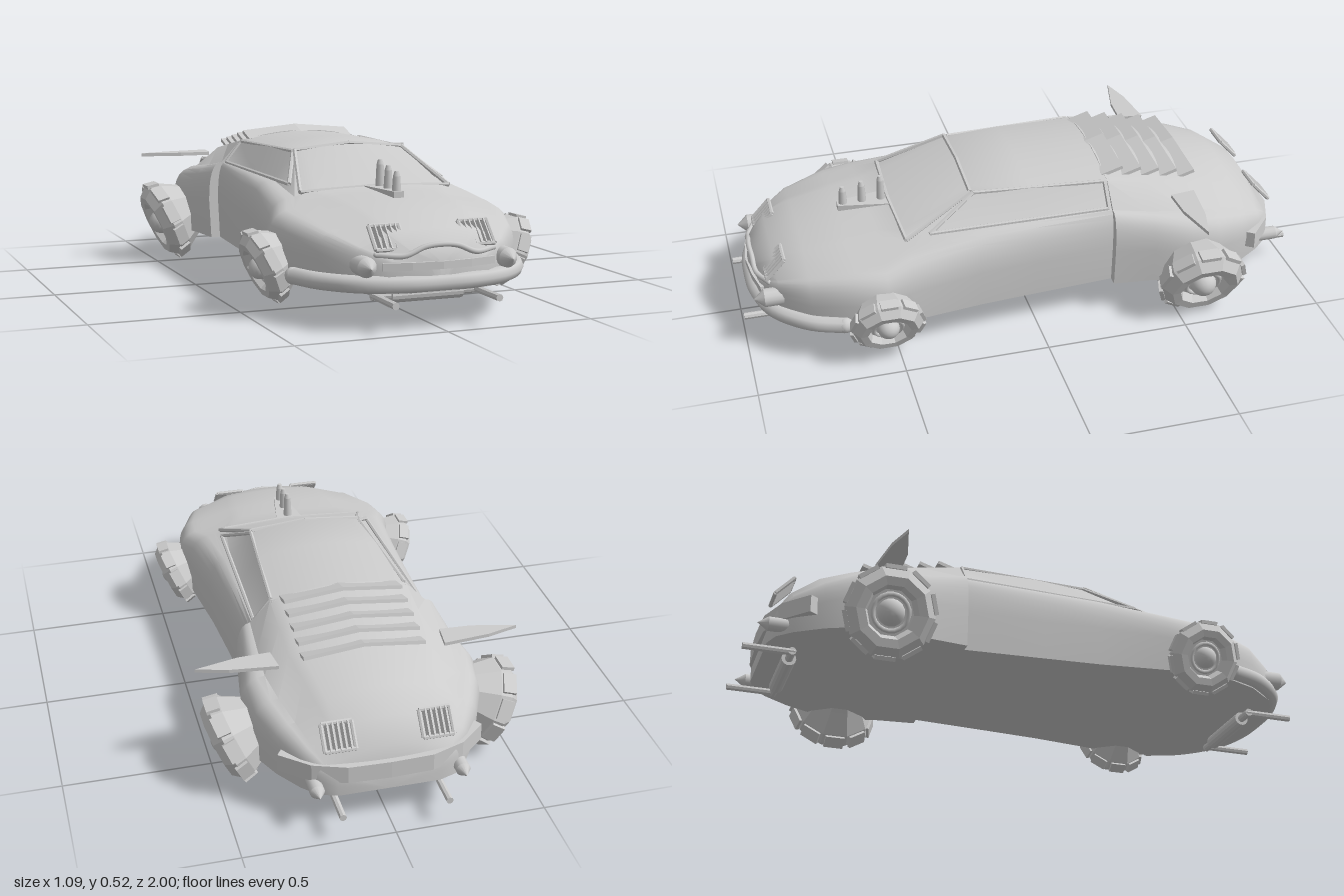
import * as THREE from 'three';
import { toCreasedNormals, mergeVertices } from 'three/addons/utils/BufferGeometryUtils.js';

const smooth = new THREE.MeshStandardMaterial({ color: 0xcccccc });
const faceted = new THREE.MeshStandardMaterial({ color: 0xcccccc, flatShading: true });
const V = (x, y, z) => new THREE.Vector3(x, y, z);
const FLOOR = 0.12;

// Stations: z, half width, belt x, belt y, roof edge x, roof edge y, top y
const FRONT_BODY = [
  [0.957, 0.04, 0.03, 0.2, 0.02, 0.215, 0.22],
  [0.935, 0.17, 0.15, 0.22, 0.1, 0.25, 0.26],
  [0.88, 0.26, 0.23, 0.26, 0.15, 0.295, 0.305],
  [0.78, 0.34, 0.29, 0.295, 0.18, 0.33, 0.345],
  [0.63, 0.4, 0.32, 0.325, 0.2, 0.355, 0.367],
  [0.53, 0.415, 0.325, 0.335, 0.21, 0.365, 0.378],
  [0.44, 0.39, 0.29, 0.36, 0.25, 0.375, 0.387],
  [0.2, 0.36, 0.28, 0.39, 0.2, 0.485, 0.505],
  [0, 0.345, 0.285, 0.395, 0.22, 0.485, 0.512],
  [-0.29, 0.325, 0.295, 0.4, 0.235, 0.475, 0.505],
];
const REAR_BODY = [
  [-0.28, 0.36, 0.31, 0.4, 0.24, 0.475, 0.508],
  [-0.42, 0.375, 0.315, 0.375, 0.24, 0.45, 0.485],
  [-0.55, 0.405, 0.32, 0.36, 0.24, 0.425, 0.46],
  [-0.66, 0.385, 0.3, 0.34, 0.22, 0.4, 0.435],
  [-0.76, 0.34, 0.27, 0.31, 0.2, 0.37, 0.405],
  [-0.85, 0.28, 0.235, 0.27, 0.17, 0.315, 0.35],
  [-0.9, 0.23, 0.2, 0.23, 0.14, 0.25, 0.275],
  [-0.92, 0.17, 0.15, 0.19, 0.1, 0.205, 0.215],
];

// Closed outline of one body station, anticlockwise from the keel
function section([z, w, xb, yb, xr, yr, top]) {
  const v2 = (x, y) => new THREE.Vector2(x, y);
  const side = new THREE.QuadraticBezierCurve(v2(w, FLOOR + (yb - FLOOR) * 0.5), v2(w, yb), v2(xb, yb));
  const roof = new THREE.QuadraticBezierCurve(v2(xr, yr), v2(xr * 0.5, top), v2(0, top));
  const half = [v2(0, FLOOR), v2(w * 0.98, FLOOR), ...side.getPoints(6), ...roof.getPoints(6)];
  const mirror = half.slice(1, -1).reverse().map(p => v2(-p.x, p.y));
  return [...half, ...mirror].map(p => V(p.x, p.y, z));
}

function loft(stations) {
  const rings = stations.map(section), n = rings[0].length, pos = [];
  const tri = (...pts) => pts.forEach(p => pos.push(p.x, p.y, p.z));
  for (let i = 0; i < rings.length - 1; i++) {
    for (let j = 0; j < n; j++) {
      const k = (j + 1) % n, a = rings[i], b = rings[i + 1];
      tri(a[j], b[j], a[k]);
      tri(b[j], b[k], a[k]);
    }
  }
  const first = rings[0], last = rings[rings.length - 1];
  for (let j = 1; j < n - 1; j++) {
    tri(first[0], first[j], first[j + 1]);
    tri(last[0], last[j + 1], last[j]);
  }
  const g = new THREE.BufferGeometry();
  g.setAttribute('position', new THREE.Float32BufferAttribute(pos, 3));
  return toCreasedNormals(mergeVertices(g), 0.55);
}

function add(parent, name, geometry, material = faceted, x = 0, y = 0, z = 0) {
  const m = new THREE.Mesh(geometry, material);
  m.name = name;
  m.position.set(x, y, z);
  parent.add(m);
  return m;
}

// Round bar between two points
function bar(parent, name, a, b, r, sides = 6) {
  const m = add(parent, name, new THREE.CylinderGeometry(r, r, a.distanceTo(b), sides));
  m.position.copy(a).lerp(b, 0.5);
  m.quaternion.setFromUnitVectors(V(0, 1, 0), b.clone().sub(a).normalize());
  return m;
}
const frame = (parent, name, pts, r) =>
  pts.forEach((p, i) => bar(parent, name, p, pts[(i + 1) % pts.length], r));

// Horizontal plate from an [x, z] outline, its top at height y
function plate(parent, name, outline, y, depth) {
  const shape = new THREE.Shape(outline.map(([x, z]) => new THREE.Vector2(x, z)));
  const g = new THREE.ExtrudeGeometry(shape, { depth, bevelEnabled: false });
  return add(parent, name, g.rotateX(Math.PI / 2), faceted, 0, y, 0);
}

// Band wrapped round an end of the car; half the path is given, from the side to the middle
function band(parent, name, half, y, depth) {
  const path = [...half, ...half.slice(0, -1).reverse().map(([x, z]) => [-x, z])];
  return plate(parent, name, [...path, ...path.slice().reverse().map(([x, z]) => [x * 0.92, z * 0.95])], y, depth);
}

function symmetricTube(parent, name, half, r) {
  const pts = [...half, ...half.slice(0, -1).reverse().map(p => V(-p.x, p.y, p.z))];
  add(parent, name, new THREE.TubeGeometry(new THREE.CatmullRomCurve3(pts), 36, r, 8), smooth);
  [pts[0], pts[pts.length - 1]].forEach(p => add(parent, name + 'End', new THREE.SphereGeometry(r, 10, 8), smooth, p.x, p.y, p.z));
}

// Faceted wheel pod, leaning so that the hub looks outwards and down
function wheel(parent, name, side, x, y, z, scale) {
  const g = new THREE.Group();
  g.name = name;
  const profile = [[0.05, -0.2], [0.1, -0.11], [0.143, -0.037], [0.152, 0], [0.12, 0.038], [0.09, 0.036], [0.078, 0.005], [0, 0.005]];
  add(g, 'wheelPod', new THREE.LatheGeometry(profile.map(p => new THREE.Vector2(...p)), 10));
  add(g, 'hub', new THREE.SphereGeometry(0.046, 16, 10), smooth, 0, 0.01, 0);
  const ring = add(g, 'hubRing', new THREE.TorusGeometry(0.06, 0.008, 6, 20), smooth, 0, 0.01, 0);
  ring.rotation.x = Math.PI / 2;
  for (let i = 0; i < 10; i++) {
    const a = (i + 0.5) * Math.PI / 5;
    const tread = add(g, 'tread', new THREE.BoxGeometry(0.07, 0.045, 0.014), faceted, Math.sin(a) * 0.145, -0.012, Math.cos(a) * 0.145);
    tread.rotation.set(0.2, a, 0, 'YXZ');
  }
  g.position.set(side * x, y, z);
  g.rotation.z = -side * (Math.PI / 2 + 0.42);
  g.scale.setScalar(scale);
  parent.add(g);
}

// Slatted vent lying on the sloping body
function vent(parent, name, x, y, z, tilt) {
  const g = new THREE.Group();
  g.name = name;
  const c = 0.045;
  frame(g, 'ventFrame', [V(-0.05, -c, 0), V(0.05, -c, 0), V(0.05, c, 0), V(-0.05, c, 0)], 0.007);
  for (let i = -2; i <= 2; i++) {
    add(g, 'ventSlat', new THREE.BoxGeometry(0.006, 0.09, 0.016), faceted, i * 0.017, 0, 0).rotation.y = 0.4;
  }
  g.position.set(x, y, z);
  g.rotation.x = tilt;
  parent.add(g);
}

export function createModel() {
  const car = new THREE.Group();
  car.name = 'hoverCar';
  add(car, 'frontBody', loft(FRONT_BODY), smooth);
  add(car, 'rearBody', loft(REAR_BODY), smooth);

  // Glass surrounds
  frame(car, 'windshieldFrame', [V(-0.27, 0.375, 0.44), V(0, 0.385, 0.452), V(0.27, 0.375, 0.44), V(0.2, 0.487, 0.2), V(0, 0.505, 0.2), V(-0.2, 0.487, 0.2)], 0.008);
  for (const s of [-1, 1]) {
    frame(car, 'sideWindowFrame', [V(s * 0.28, 0.393, 0.36), V(s * 0.203, 0.483, 0.19), V(s * 0.235, 0.475, -0.27), V(s * 0.295, 0.4, -0.27)], 0.007);
  }

  // Rear window louvers, peaked in the middle
  for (let i = 0; i < 5; i++) {
    const shape = new THREE.Shape([[-0.205, 0], [-0.205, -0.012], [0, 0.008], [0.205, -0.012], [0.205, 0], [0, 0.02]].map(p => new THREE.Vector2(...p)));
    const slat = add(car, 'louver', new THREE.ExtrudeGeometry(shape, { depth: 0.08, bevelEnabled: false }), faceted, 0, 0.508 - i * 0.014, -0.345 - i * 0.067);
    slat.rotation.x = 0.3;
  }

  // Hood stacks on a wedge base
  plate(car, 'stackBase', [[-0.048, 0.455], [0.048, 0.455], [0.018, 0.63], [-0.018, 0.63]], 0.388, 0.03);
  for (let i = 0; i < 3; i++) {
    const h = 0.085 - i * 0.012, z = 0.475 + i * 0.067;
    add(car, 'stack', new THREE.CylinderGeometry(0.012, 0.016, h, 10), smooth, 0, 0.375 + h / 2, z);
    add(car, 'stackTip', new THREE.CylinderGeometry(0.007, 0.012, 0.016, 10), smooth, 0, 0.383 + h, z);
  }

  // Nose and tail trim
  symmetricTube(car, 'frontBumper', [V(0.385, 0.147, 0.68), V(0.34, 0.147, 0.79), V(0.24, 0.147, 0.895), V(0.12, 0.147, 0.94), V(0, 0.147, 0.948)], 0.028);
  symmetricTube(car, 'noseLip', [V(0.2, 0.237, 0.905), V(0.12, 0.235, 0.94), V(0.055, 0.26, 0.945), V(0, 0.266, 0.948)], 0.009);
  band(car, 'noseGrille', [[0.19, 0.935], [0.1, 0.955], [0, 0.965]], 0.215, 0.024);
  band(car, 'rearBumper', [[0.34, -0.81], [0.25, -0.89], [0.14, -0.93], [0, -0.935]], 0.232, 0.06);

  for (const s of [-1, 1]) {
    wheel(car, 'rearWheel', s, 0.455, 0.149, -0.57, 1);
    wheel(car, 'frontWheel', s, 0.44, 0.157, 0.545, 0.82);
    vent(car, 'frontVent', s * 0.152, 0.285, 0.88, -0.75);
    vent(car, 'rearVent', s * 0.16, 0.32, -0.878, 0.75);
    plate(car, 'rearWing', [[0.28, -0.587], [0.29, -0.5], [0.4, -0.505], [0.547, -0.54], [0.44, -0.57]].map(([x, z]) => [s * x, z]), 0.415, 0.012);

    // Lamps with pointed ends, front and rear
    for (const [e, y, z, r] of [[1, 0.205, 0.88, 0.032], [-1, 0.155, -0.88, 0.024]]) {
      const body = add(car, 'lamp', new THREE.CylinderGeometry(r, r, 0.1, 14), smooth, s * 0.24, y, z);
      body.rotation.x = Math.PI / 2;
      const tip = add(car, 'lampTip', new THREE.ConeGeometry(r, 0.036, 14), smooth, s * 0.24, y, z + e * 0.068);
      tip.rotation.x = e * Math.PI / 2;
    }
  }

  // Under-slung crossbars with forward and rearward prongs
  for (const e of [-1, 1]) {
    bar(car, 'crossbar', V(-0.122, 0.095, e * 0.835), V(0.122, 0.095, e * 0.835), 0.025, 14);
    bar(car, 'crossbarAxle', V(-0.185, 0.095, e * 0.835), V(0.185, 0.095, e * 0.835), 0.014, 10);
    for (const s of [-1, 1]) bar(car, 'prong', V(s * 0.175, 0.095, e * 0.825), V(s * 0.175, 0.095, e), 0.012, 8);
  }
  return car;
}
